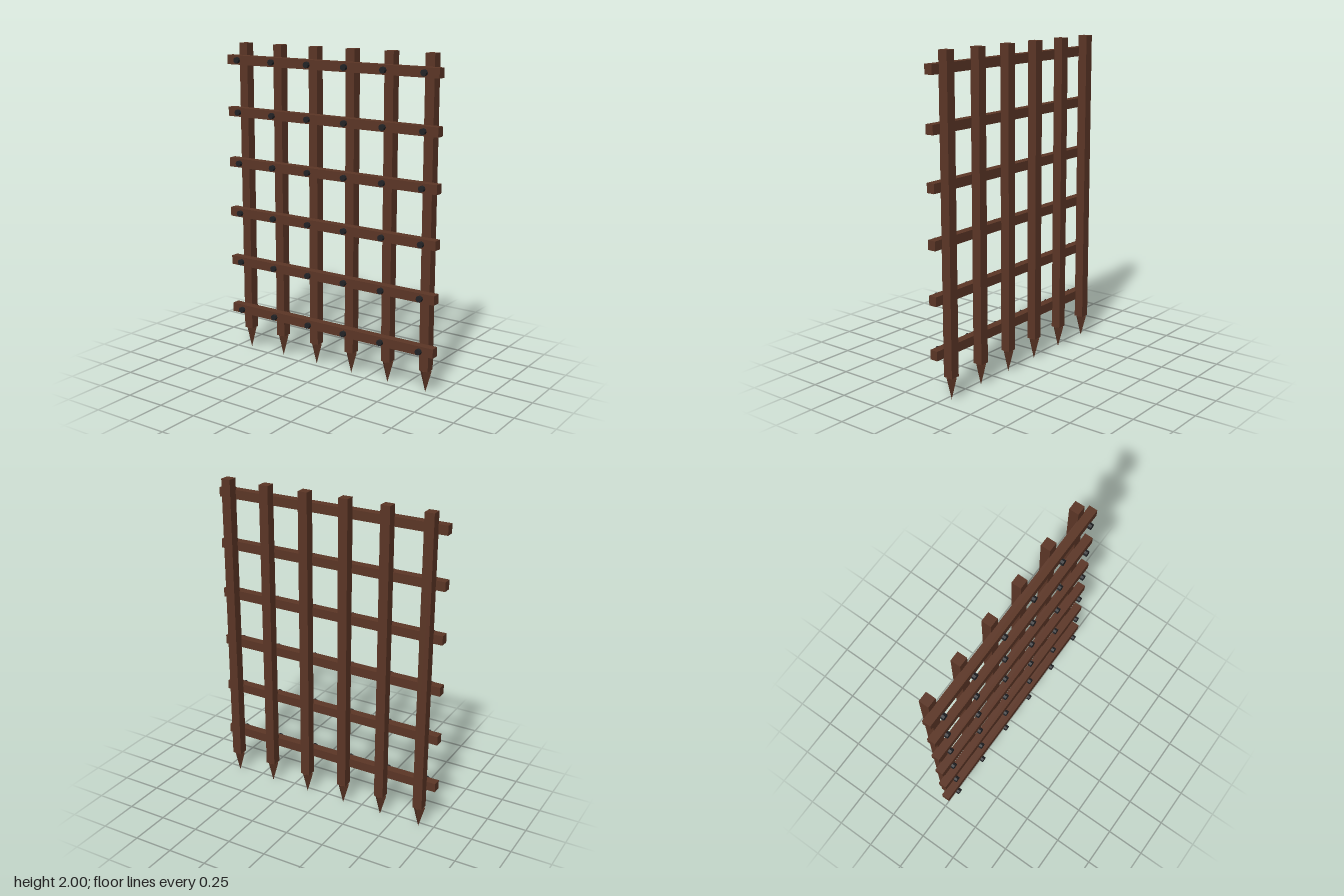
import * as THREE from 'three';

export function createModel() {
  const model = new THREE.Group();
  model.name = 'portcullis';

  const wood = new THREE.MeshStandardMaterial({ color: 0x5c3626, flatShading: true });
  const iron = new THREE.MeshStandardMaterial({ color: 0x222326, flatShading: true });

  const count = 6;
  const barX = (i) => -0.66 + i * 0.264;
  const railY = (j) => 0.283 + j * 0.323;
  const barZ = -0.033;

  const barGeo = new THREE.BoxGeometry(0.06, 1.86, 0.06);
  const spikeGeo = new THREE.ConeGeometry(0.04, 0.14, 4).rotateX(Math.PI);
  const railGeo = new THREE.BoxGeometry(1.495, 0.057, 0.052);
  const boltGeo = new THREE.CylinderGeometry(0.019, 0.019, 0.02, 8).rotateX(Math.PI / 2);

  const add = (name, geometry, material, x, y, z) => {
    const mesh = new THREE.Mesh(geometry, material);
    mesh.name = name;
    mesh.position.set(x, y, z);
    model.add(mesh);
  };

  // Upright bars, each ending in a four-sided spike
  for (let i = 0; i < count; i++) {
    add(`uprightBar${i + 1}`, barGeo, wood, barX(i), 1.07, barZ);
    add(`spike${i + 1}`, spikeGeo, wood, barX(i), 0.07, barZ);
  }

  // Cross rails with a bolt in front of every crossing
  for (let j = 0; j < count; j++) {
    add(`crossRail${j + 1}`, railGeo, wood, 0, railY(j), 0.02);
    for (let i = 0; i < count; i++) {
      add(`bolt${j + 1}_${i + 1}`, boltGeo, iron, barX(i), railY(j), 0.063);
    }
  }

  return model;
}
